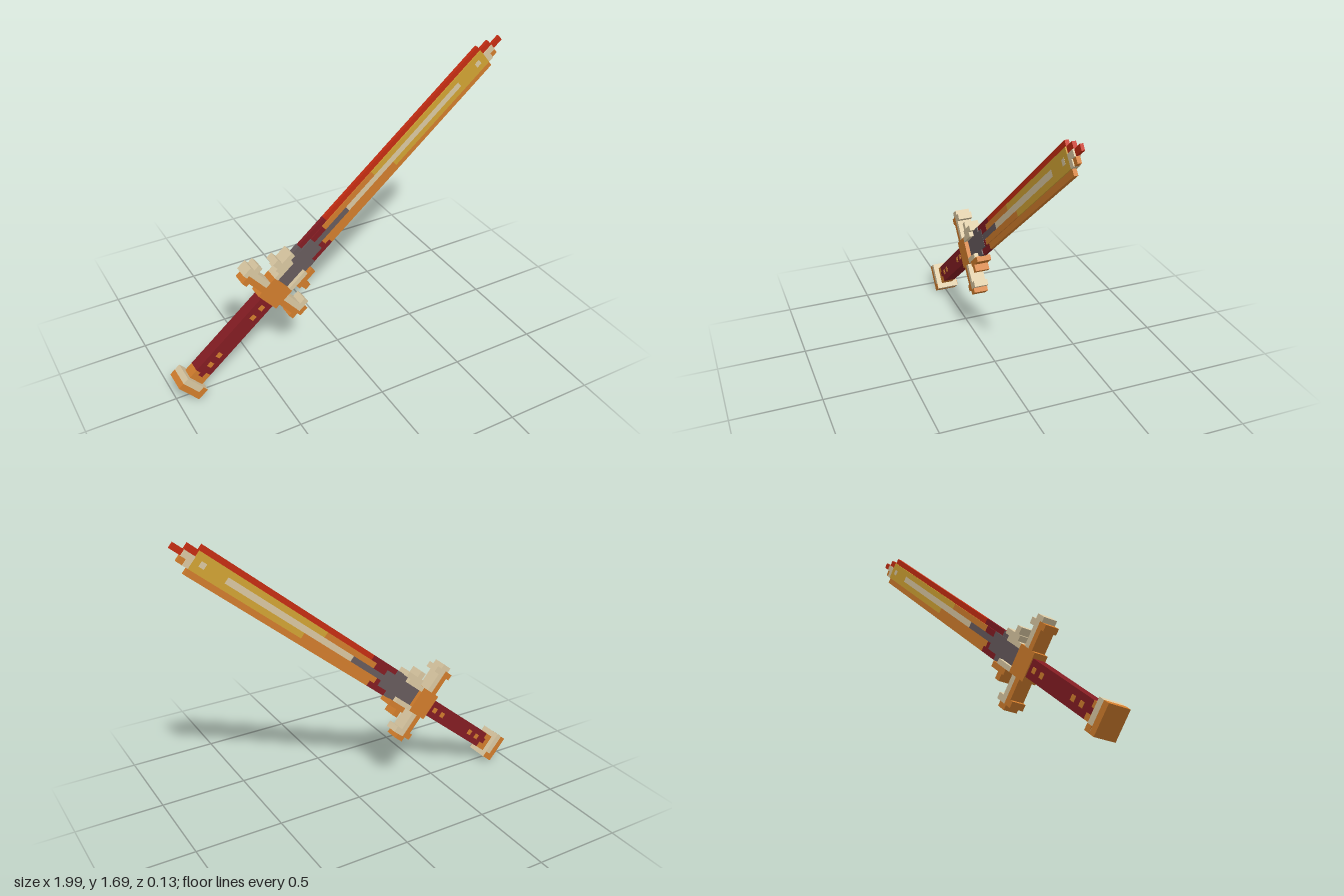
import * as THREE from 'three';

const mat = (name, color) => {
  const m = new THREE.MeshStandardMaterial({ color });
  m.name = name;
  return m;
};

export function createModel() {
  const red = mat('red', 0xc42c12), orange = mat('orange', 0xd07c2c), gold = mat('gold', 0xd0a233);
  const pale = mat('pale', 0xd8c6a0), maroon = mat('maroon', 0x821c22), grey = mat('grey', 0x665a5c);

  // The sword is laid out along local x (pommel to tip), then tilted
  const sword = new THREE.Group();
  sword.name = 'sword';

  // Box from its ranges along (u) and across (v) the sword, with half thickness h
  const box = (name, m, u0, u1, v0, v1, h) => {
    const mesh = new THREE.Mesh(new THREE.BoxGeometry(u1 - u0, v1 - v0, 2 * h), m);
    mesh.position.set((u0 + u1) / 2, (v0 + v1) / 2, 0);
    mesh.name = name;
    sword.add(mesh);
  };

  // Pommel and collar
  box('pommelEnd', orange, -0.684, -0.648, -0.08, 0.08, 0.065);
  box('pommelRim', pale, -0.648, -0.612, -0.08, 0.08, 0.065);
  box('pommelCorner', orange, -0.647, -0.613, -0.079, -0.045, 0.067);
  box('collarLower', orange, -0.612, -0.545, -0.05, -0.016, 0.035);
  box('collarMiddle', orange, -0.612, -0.578, -0.016, 0.016, 0.035);
  box('collarUpper', orange, -0.612, -0.56, 0.016, 0.048, 0.035);

  // Grip with stepped start and studs on both faces
  box('grip', maroon, -0.545, -0.04, -0.05, 0.048, 0.035);
  box('gripStep', maroon, -0.578, -0.545, -0.016, 0.016, 0.035);
  box('gripStep', maroon, -0.56, -0.545, 0.016, 0.048, 0.035);
  for (const u of [-0.494, -0.425, -0.152, -0.083])
    box('stud', orange, u - 0.015, u + 0.015, -0.015, 0.015, 0.037);

  // Cross guard, mirrored arms
  const G = 0.041;
  box('guardCentre', orange, -0.04, 0.09, -0.077, 0.077, G);
  for (const s of [1, -1]) {
    const side = (name, m, u0, u1, a, b) =>
      box(name, m, u0, u1, Math.min(s * a, s * b), Math.max(s * a, s * b), G);
    side('guardArm', orange, -0.012, 0.022, 0.077, 0.187);
    side('guardArmRidge', pale, 0.022, 0.057, 0.077, 0.187);
    side('guardHead', orange, -0.033, 0.022, 0.187, 0.222);
    side('guardHeadTop', pale, 0.022, 0.094, 0.187, 0.222);
    side('guardHeadCap', s > 0 ? pale : orange, 0.005, 0.062, 0.222, 0.25);
    // Claws hugging the blade root
    side('clawInner', pale, 0.09, 0.215, 0.05, 0.077);
    side('clawOuter', s > 0 ? pale : orange, 0.125, 0.25, 0.077, 0.108);
    side('clawSpur', s > 0 ? pale : orange, 0.14, 0.178, 0.108, 0.147);
  }

  // Blade root
  box('rootBlock', grey, 0.09, 0.37, -0.05, 0.05, 0.018);
  box('rootUpper', grey, 0.215, 0.3, 0.05, 0.08, 0.016);
  box('rootLower', grey, 0.215, 0.29, -0.08, -0.05, 0.016);
  box('rootPoint', grey, 0.37, 0.62, -0.017, 0.017, 0.017);
  box('rootEdgeUpper', maroon, 0.3, 0.5, 0.05, 0.08, 0.01);
  box('rootEdgeLower', maroon, 0.29, 0.43, -0.083, -0.05, 0.01);
  box('rootInnerUpper', maroon, 0.37, 0.46, 0.017, 0.05, 0.017);
  box('rootInnerLower', maroon, 0.37, 0.4, -0.05, -0.017, 0.017);

  // Blade body in strips across its width
  const B = 0.016;
  box('backEdge', red, 0.5, 1.71, 0.05, 0.08, 0.01);
  box('cuttingEdge', orange, 0.43, 1.71, -0.083, -0.05, 0.01);
  box('bladeUpperRoot', orange, 0.46, 0.85, 0.017, 0.05, B);
  box('bladeUpper', gold, 0.85, 1.71, 0.017, 0.05, B);
  box('bladeLowerRoot', orange, 0.4, 0.97, -0.05, -0.017, B);
  box('bladeLower', gold, 0.97, 1.71, -0.05, -0.017, B);
  box('fuller', pale, 0.62, 1.51, -0.017, 0.017, B);
  box('bladeEnd', gold, 1.51, 1.71, -0.017, 0.017, B);
  box('bladeInlay', pale, 1.64, 1.672, -0.015, 0.015, B + 0.001);

  // Stepped tip
  box('tipUpper', red, 1.71, 1.775, 0.017, 0.05, 0.01);
  box('tipMiddle', pale, 1.71, 1.775, -0.017, 0.017, B);
  box('tipLower', pale, 1.71, 1.742, -0.05, -0.017, B);
  box('tipLowerEdge', orange, 1.742, 1.775, -0.05, -0.017, 0.01);
  box('tipSpike', red, 1.775, 1.838, -0.016, 0.016, 0.008);

  sword.rotation.z = THREE.MathUtils.degToRad(40);
  sword.position.set(-0.422, 0.504, 0);
  const model = new THREE.Group();
  model.name = 'model';
  model.add(sword);
  return model;
}
